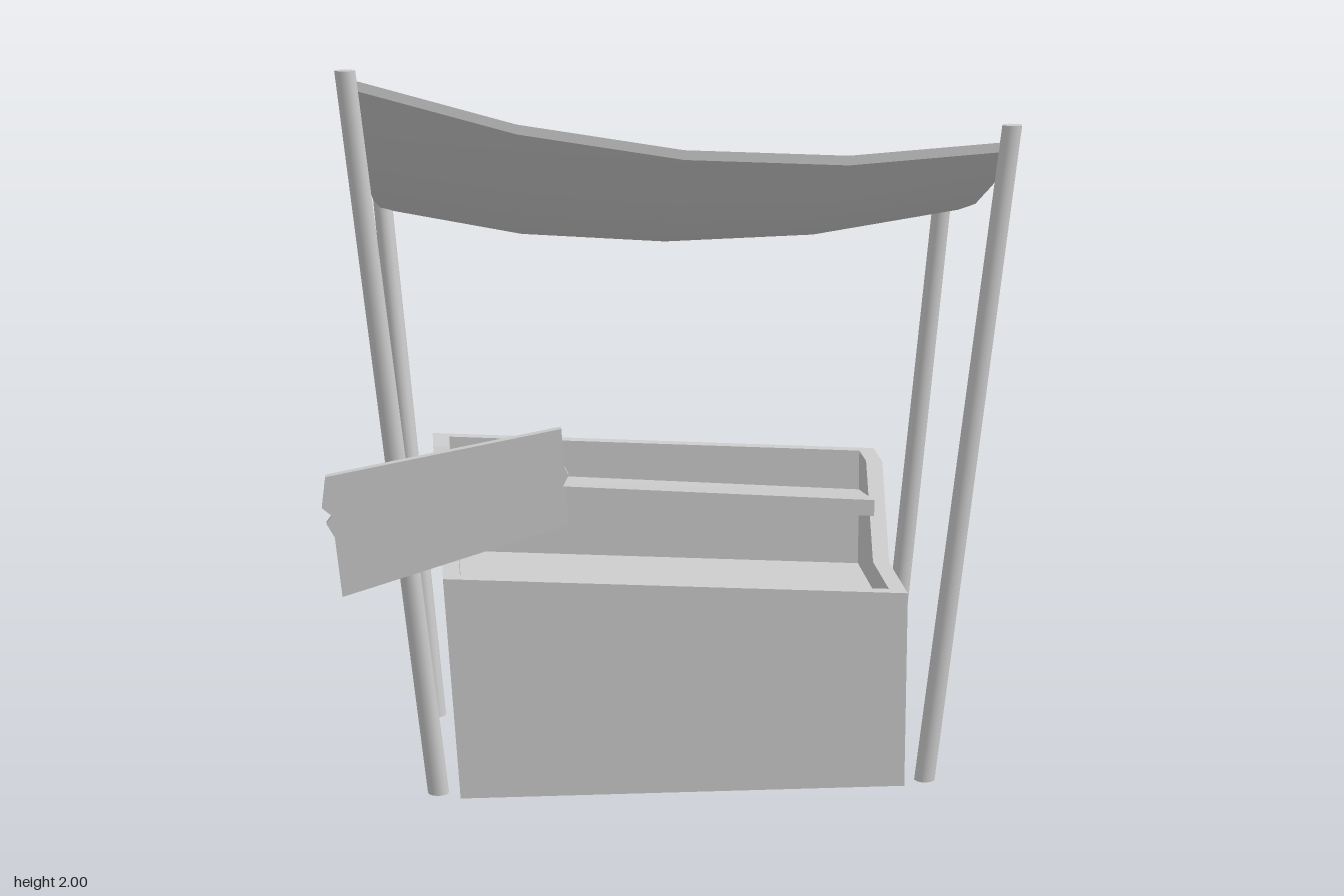
import * as THREE from 'three';

const material = new THREE.MeshStandardMaterial({ color: 0xcccccc });

function add(parent, name, geometry) {
  const mesh = new THREE.Mesh(geometry, material);
  mesh.name = name;
  parent.add(mesh);
  return mesh;
}

// Moves every vertex by a rule, then refreshes the normals
function warp(geometry, rule) {
  const pos = geometry.attributes.position;
  const v = new THREE.Vector3();
  for (let i = 0; i < pos.count; i++) {
    rule(v.fromBufferAttribute(pos, i));
    pos.setXYZ(i, v.x, v.y, v.z);
  }
  geometry.computeVertexNormals();
  return geometry;
}

// Leaning pole with level ends
function pole(bottom, top) {
  const [bx, by, bz] = bottom, [tx, ty, tz] = top;
  const h = ty - by;
  const g = new THREE.CylinderGeometry(0.027, 0.029, h, 12);
  g.translate(0, h / 2, 0);
  g.applyMatrix4(new THREE.Matrix4().set(
    1, (tx - bx) / h, 0, bx,
    0, 1, 0, by,
    0, (tz - bz) / h, 1, bz,
    0, 0, 0, 1));
  return g;
}

// Crooked counter board: a [z, y] profile run from x0 to x1, rising and leaning out towards -x
function board(profile, x0, x1, rise = 0.07) {
  const shape = new THREE.Shape(profile.map(([z, y]) => new THREE.Vector2(-z, y)));
  const g = new THREE.ExtrudeGeometry(shape, { depth: x1 - x0, bevelEnabled: false });
  g.rotateY(Math.PI / 2).translate(x0, 0, 0);
  return warp(g, (v) => {
    const t = (0.64 - v.x) / 1.23;
    v.x -= 0.07 * v.y * t;
    v.y += rise * t * Math.min(1, v.y / 0.45);
  });
}

const slab = (zFront, zBack, y0, y1) => [[zFront, y0], [zFront, y1], [zBack, y1], [zBack, y0]];

function createCounter() {
  const counter = new THREE.Group();
  counter.name = 'counter';
  const L = -0.59, R = 0.64, T = 0.045;
  const side = [[0.405, 0], [0.405, 0.555], [0.085, 0.555], [-0.065, 0.815], [-0.235, 0.815], [-0.235, 0]];
  add(counter, 'leftSide', board(side, R - T, R));
  add(counter, 'rightSide', board(side, L, L + T));
  add(counter, 'frontWall', board(slab(0.405, 0.365, 0, 0.555), L + T, R - T));
  add(counter, 'backWall', board(slab(-0.195, -0.235, 0, 0.815), L + T, R - T));
  add(counter, 'counterTop', board(slab(0.365, -0.195, 0, 0.475), L + T, R - T));
  // Shelf tips down towards the back
  const shelf = [[0.095, 0.692], [0.095, 0.738], [-0.195, 0.698], [-0.195, 0.652]];
  add(counter, 'shelf', board(shelf, L + T, R - T, 0.085));
  return counter;
}

// Sagging cloth stretched between four corners
function canopyGeometry() {
  const corners = {
    backLeft: new THREE.Vector3(-0.785, 1.53, -0.485), backRight: new THREE.Vector3(0.85, 1.55, -0.33),
    frontLeft: new THREE.Vector3(-0.86, 1.98, 0.435), frontRight: new THREE.Vector3(0.91, 1.785, 0.34),
  };
  const back = new THREE.Vector3(), front = new THREE.Vector3();
  return warp(new THREE.BoxGeometry(1, 0.026, 1, 4, 1, 4), (p) => {
    const u = p.x + 0.5, v = p.z + 0.5, dy = p.y - 0.013;
    back.lerpVectors(corners.backLeft, corners.backRight, u);
    front.lerpVectors(corners.frontLeft, corners.frontRight, u);
    p.lerpVectors(back, front, v);
    p.y += dy - 0.42 * u * (1 - u) - 0.29 * v * (1 - v);
  });
}

// Splintered plank, turned and tipped to hang on the front pole
function signGeometry() {
  const outline = [
    [-0.897, 0.60], [-0.285, 0.753], [-0.285, 0.80], [-0.30, 0.865], [-0.285, 0.895], [-0.296, 0.918],
    [-0.305, 1.028], [-0.934, 0.94], [-0.945, 0.855], [-0.918, 0.83], [-0.934, 0.81], [-0.913, 0.77],
  ];
  const shape = new THREE.Shape(outline.map(([x, y]) => new THREE.Vector2(x, y)));
  const g = new THREE.ExtrudeGeometry(shape, { depth: 0.03, bevelEnabled: false });
  return warp(g, (v) => { v.z += 0.175 - 0.229 * v.x + 0.1 * v.y; });
}

export function createModel() {
  const model = new THREE.Group();
  model.name = 'marketStall';

  // Poles
  const poles = {
    frontRightPole: [[-0.65, 0, 0.35], [-0.86, 2.0, 0.44]],
    frontLeftPole: [[0.705, 0, 0.355], [0.91, 1.83, 0.34]],
    backRightPole: [[-0.65, 0, -0.335], [-0.785, 1.58, -0.485]],
    backLeftPole: [[0.71, 0, -0.32], [0.85, 1.58, -0.325]],
  };
  for (const [name, [bottom, top]] of Object.entries(poles)) add(model, name, pole(bottom, top));

  add(model, 'canopy', canopyGeometry());
  add(model, 'signBoard', signGeometry());
  model.add(createCounter());
  return model;
}
